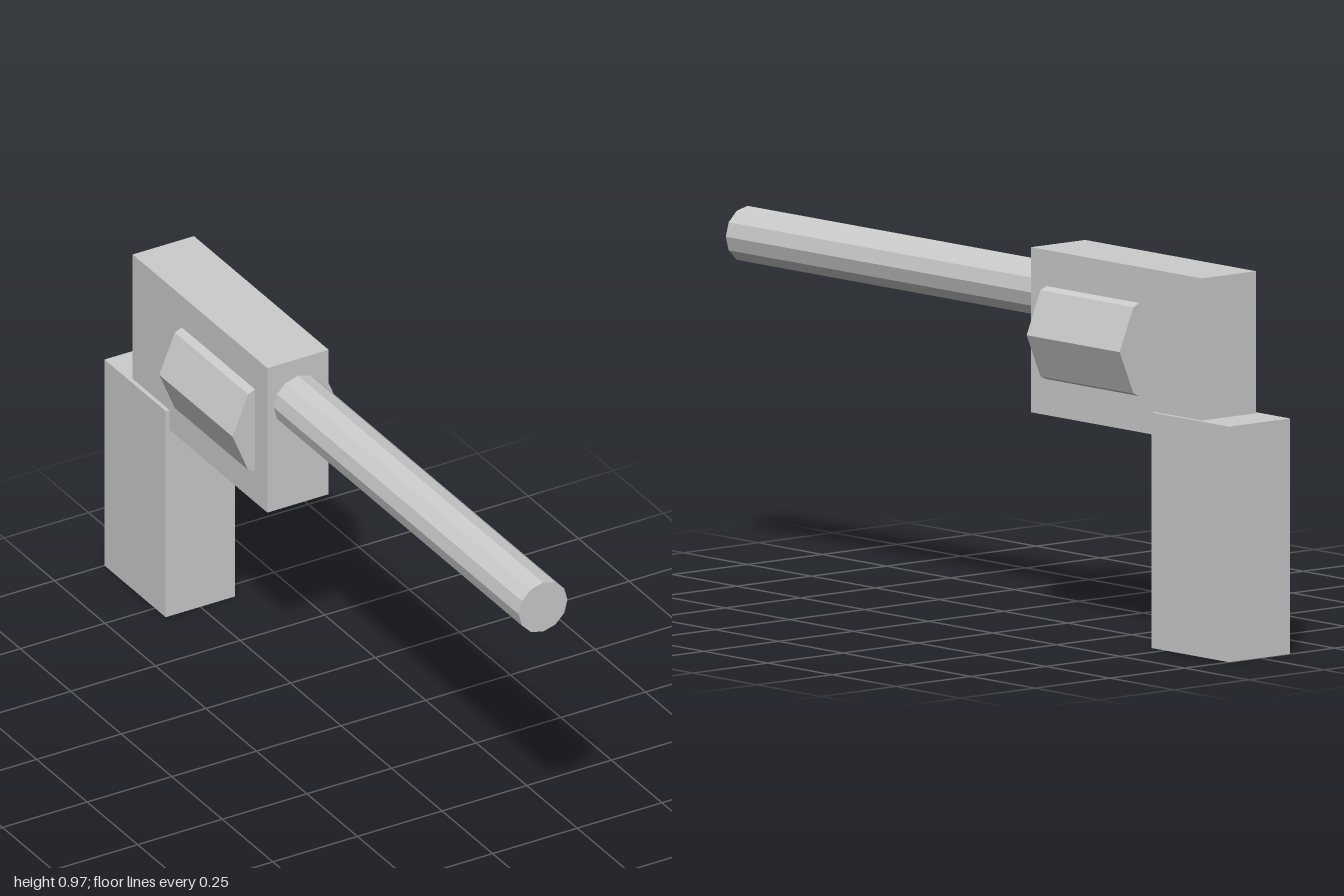
import * as THREE from 'three';

const grey = new THREE.MeshStandardMaterial({ color: 0xcccccc, flatShading: true });
grey.name = 'light grey';

function addPart(group, name, geometry, y, zBack, zFront) {
  const mesh = new THREE.Mesh(geometry, grey);
  mesh.name = name;
  mesh.position.set(0, y, (zBack + zFront) / 2);
  group.add(mesh);
}

// Upright block given by its width and its y and z ranges
function addBlock(group, name, width, y0, y1, zBack, zFront) {
  const geometry = new THREE.BoxGeometry(width, y1 - y0, zFront - zBack);
  addPart(group, name, geometry, (y0 + y1) / 2, zBack, zFront);
}

// Faceted rod lying along z
function addRod(group, name, radius, sides, y, zBack, zFront) {
  const geometry = new THREE.CylinderGeometry(radius, radius, zFront - zBack, sides);
  geometry.rotateX(Math.PI / 2);
  addPart(group, name, geometry, y, zBack, zFront);
}

export function createModel() {
  const model = new THREE.Group();
  model.name = 'model';

  addBlock(model, 'frame', 0.181, 0.546, 0.97, -0.88, -0.213);
  addBlock(model, 'grip', 0.204, 0, 0.605, -1, -0.697);
  addRod(model, 'barrel', 0.072, 12, 0.849, -0.22, 1);
  // Eight-sided drum, showing on both sides of the frame
  addRod(model, 'drum', 0.157, 8, 0.758, -0.637, -0.274);

  return model;
}
